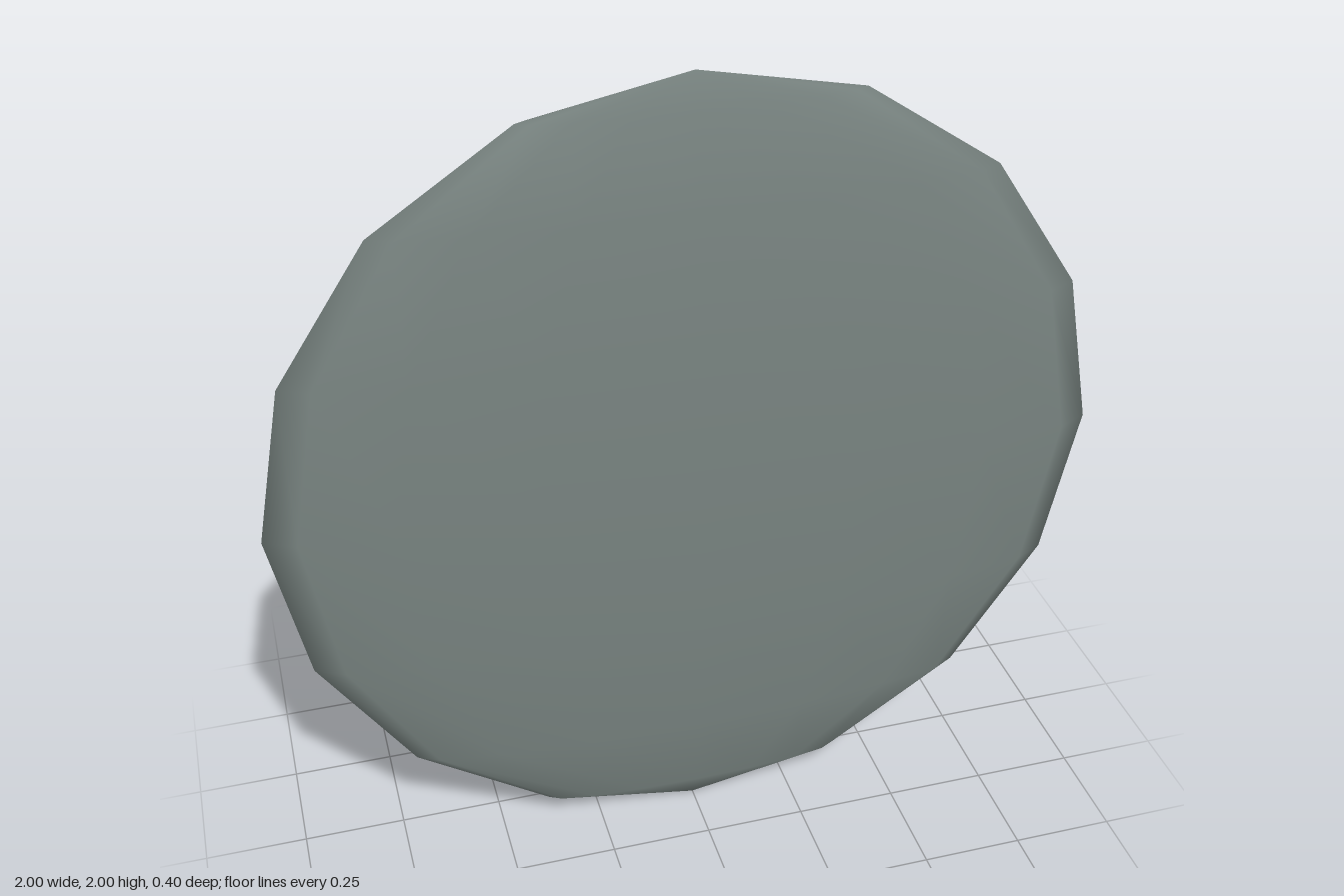
import * as THREE from 'three';

const caseMat = new THREE.MeshStandardMaterial({ color: 0x77827f });
const dialMat = new THREE.MeshStandardMaterial({ color: 0xd6cebb });
const darkMat = new THREE.MeshStandardMaterial({ color: 0x434a4b });

const CENTRE_Y = 1;

// Low-segment sphere squashed along z into a lens
function lens(name, radius, halfDepth, z, material) {
  const mesh = new THREE.Mesh(new THREE.SphereGeometry(1, 16, 8), material);
  mesh.name = name;
  mesh.scale.set(radius, radius, halfDepth);
  mesh.position.set(0, CENTRE_Y, z);
  return mesh;
}

function box(name, w, h, d, x, y, z) {
  const mesh = new THREE.Mesh(new THREE.BoxGeometry(w, h, d), darkMat);
  mesh.name = name;
  mesh.position.set(x, y, z);
  return mesh;
}

export function createModel() {
  const clock = new THREE.Group();
  clock.name = 'wallClock';

  // Case and dial; the dial looks toward -z
  clock.add(lens('case', 1, 0.1, 0.098, caseMat));
  clock.add(lens('dial', 0.885, 0.027, -0.045, dialMat));

  // Twelve upright hour markers
  const markers = new THREE.Group();
  markers.name = 'hourMarkers';
  for (let i = 0; i < 12; i++) {
    const a = (i * Math.PI) / 6;
    markers.add(box('hourMarker', 0.07, 0.1, 0.03,
      0.73 * Math.sin(a), CENTRE_Y + 0.73 * Math.cos(a), -0.097));
  }
  clock.add(markers);

  // Hands, floating in front of the dial
  clock.add(box('minuteHand', 0.045, 0.665, 0.032, 0, 1.253, -0.189));
  clock.add(box('hourHand', 0.5, 0.055, 0.032, -0.19, 1.15, -0.16));

  return clock;
}
